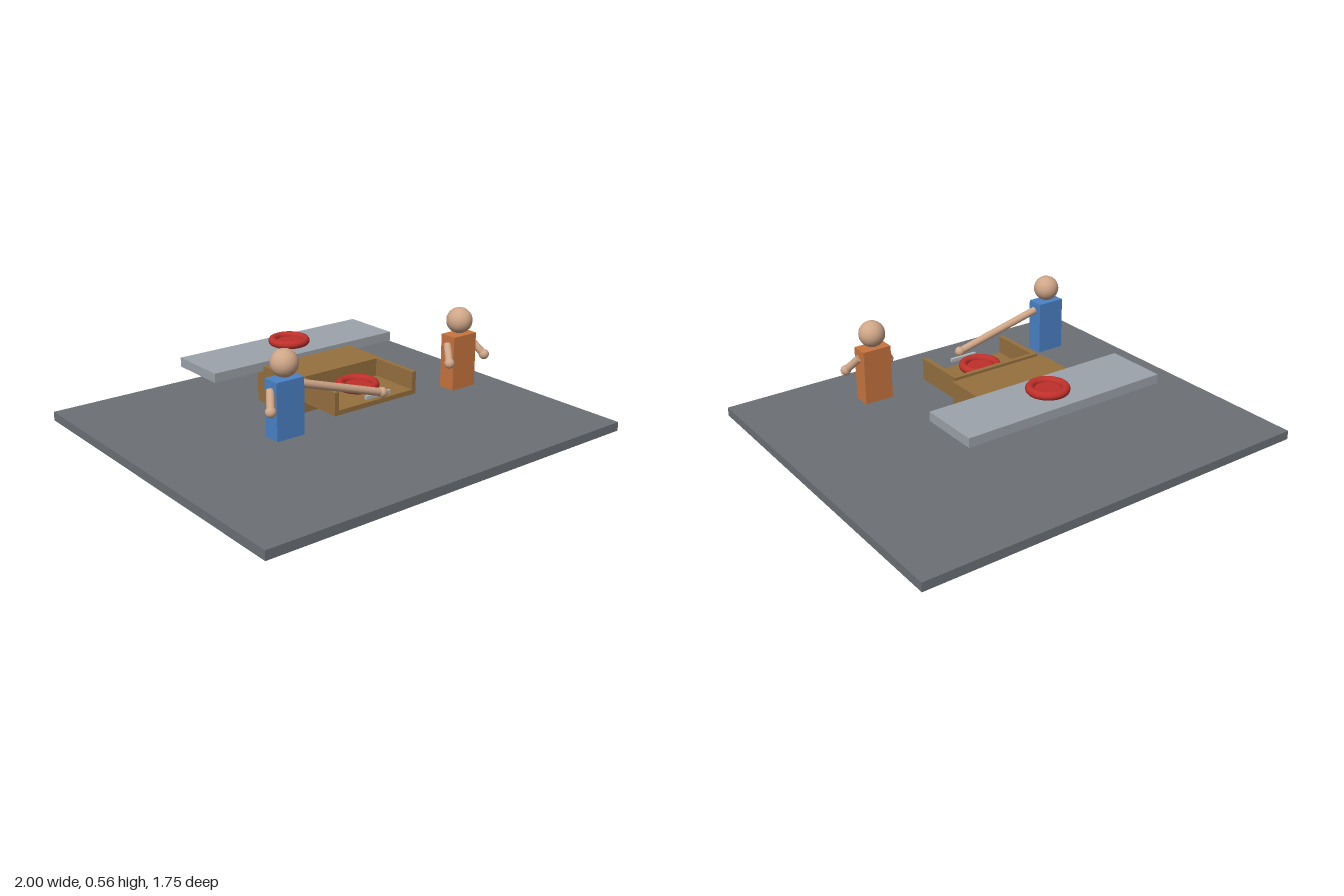
import * as THREE from 'three';

const material = (name, color) => {
  const m = new THREE.MeshStandardMaterial({ color });
  m.name = name;
  return m;
};

export function createModel() {
  const model = new THREE.Group();
  model.name = 'drawerScene';
  const floorGrey = material('floor grey', 0x6c7076);
  const shelfGrey = material('shelf grey', 0x9da3ab);
  const wood = material('wood brown', 0x96703f);
  const red = material('dish red', 0xc0302b);
  const blue = material('shirt blue', 0x4a82c6);
  const orange = material('shirt orange', 0xc8753f);
  const skin = material('skin', 0xcfa688);
  const metal = material('handle grey', 0xb4b8bd);

  const add = (parent, name, geometry, mat, x = 0, y = 0, z = 0) => {
    const mesh = new THREE.Mesh(geometry, mat);
    mesh.name = name;
    mesh.position.set(x, y, z);
    parent.add(mesh);
    return mesh;
  };
  // Box given by its lower and upper corners
  const box = (parent, name, mat, a, b) => add(parent, name,
    new THREE.BoxGeometry(b[0] - a[0], b[1] - a[1], b[2] - a[2]), mat,
    (a[0] + b[0]) / 2, (a[1] + b[1]) / 2, (a[2] + b[2]) / 2);

  // Floor slab, cabinet and shelf
  box(model, 'floor', floorGrey, [-1, 0, -0.875], [1, 0.043, 0.875]);
  box(model, 'cabinet', wood, [-0.255, 0.118, -0.24], [0.255, 0.298, 0.03]);
  box(model, 'shelf', shelfGrey, [-0.52, 0.273, -0.487], [0.52, 0.317, -0.192]);

  // Pulled-out drawer, open at the front
  const drawer = new THREE.Group();
  drawer.name = 'drawer';
  model.add(drawer);
  box(drawer, 'drawerBottom', wood, [-0.235, 0.198, 0.04], [0.235, 0.22, 0.313]);
  box(drawer, 'drawerBack', wood, [-0.213, 0.22, 0.04], [0.213, 0.305, 0.062]);
  for (const s of [-1, 1]) {
    box(drawer, s < 0 ? 'drawerRightSide' : 'drawerLeftSide', wood,
      [s * 0.224 - 0.011, 0.22, 0.04], [s * 0.224 + 0.011, 0.305, 0.313]);
  }
  box(drawer, 'handle', metal, [-0.07, 0.24, 0.313], [0.07, 0.256, 0.328]);

  // Round dishes with a thick rim
  const addDish = (name, y, z) => {
    const dish = new THREE.Group();
    dish.name = name;
    dish.position.set(0, y, z);
    model.add(dish);
    add(dish, 'rim', new THREE.TorusGeometry(0.08, 0.02, 14, 40), red).rotation.x = -Math.PI / 2;
    add(dish, 'dishCentre', new THREE.CylinderGeometry(0.068, 0.068, 0.012, 40), red, 0, -0.006, 0);
  };
  addDish('shelfDish', 0.338, -0.34);
  addDish('drawerDish', 0.258, 0.18);

  // Arm from shoulder to a round hand
  const addArm = (person, name, from, to) => {
    const a = new THREE.Vector3(...from), b = new THREE.Vector3(...to);
    const dir = b.clone().sub(a);
    const mid = a.clone().add(b).multiplyScalar(0.5);
    const arm = add(person, name, new THREE.CylinderGeometry(0.018, 0.018, dir.length(), 16), skin, mid.x, mid.y, mid.z);
    arm.quaternion.setFromUnitVectors(new THREE.Vector3(0, 1, 0), dir.normalize());
    add(person, name + 'Hand', new THREE.SphereGeometry(0.024, 16, 12), skin, b.x, b.y, b.z);
  };

  // People: block torso, ball head, two arms
  const addPerson = (name, x, shirt, reach) => {
    const person = new THREE.Group();
    person.name = name;
    person.position.set(x, 0, 0.313);
    model.add(person);
    box(person, 'torso', shirt, [-0.07, 0.178, -0.042], [0.07, 0.435, 0.042]);
    add(person, 'head', new THREE.SphereGeometry(0.061, 20, 14), skin, 0, 0.498, 0);
    addArm(person, 'rightArm', [-0.072, 0.395, 0], [-0.112, 0.325, 0.058]);
    addArm(person, 'leftArm', [0.072, 0.395, 0], reach || [0.112, 0.325, 0.058]);
  };
  addPerson('reachingPerson', -0.5, blue, [0.5, 0.267, 0.038]);
  addPerson('waitingPerson', 0.5, orange);

  return model;
}
